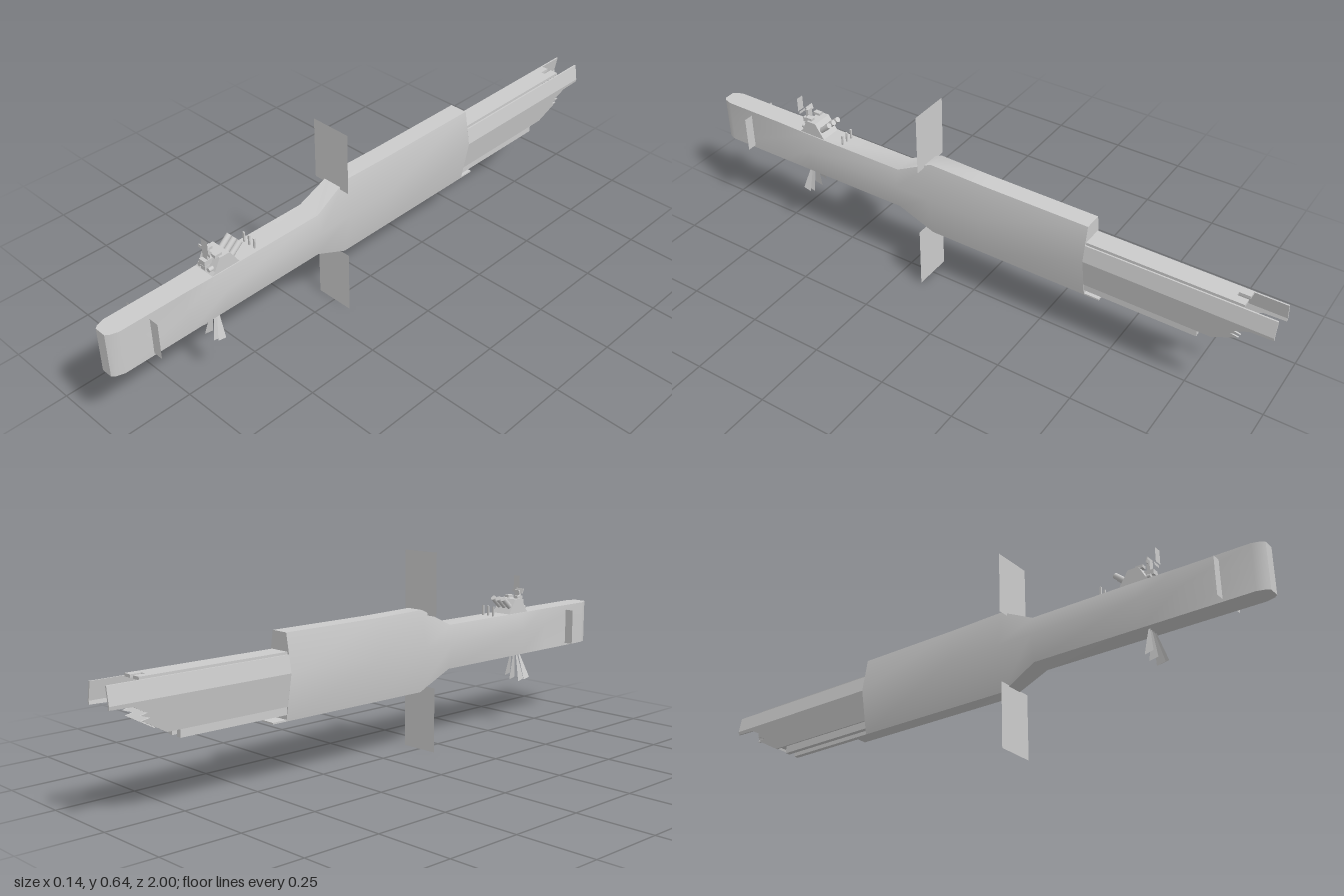
import * as THREE from 'three';
import { toCreasedNormals } from 'three/addons/utils/BufferGeometryUtils.js';

const mat = new THREE.MeshStandardMaterial({ color: 0xcccccc, side: THREE.DoubleSide });

export function createModel() {
  const root = new THREE.Group();

  const add = (name, geo, x = 0, y = 0, z = 0) => {
    const m = new THREE.Mesh(geo, mat);
    m.name = name;
    m.position.set(x, y, z);
    root.add(m);
    return m;
  };
  // Box given by its limits
  const box = (name, x0, x1, y0, y1, z0, z1) =>
    add(name, new THREE.BoxGeometry(x1 - x0, y1 - y0, z1 - z0),
      (x0 + x1) / 2, (y0 + y1) / 2, (z0 + z1) / 2);
  // Thin sheet facing front
  const sheet = (name, x0, x1, y0, y1, z) =>
    add(name, new THREE.PlaneGeometry(x1 - x0, y1 - y0), (x0 + x1) / 2, (y0 + y1) / 2, z);
  const shape = (pts) => new THREE.Shape(pts.map(([x, y]) => new THREE.Vector2(x, y)));

  // Hull: six-sided sections lofted from bow to stern
  // z, top y, top half width, middle half width, bottom y, bottom half width
  const sections = [
    [1.0, 0.4, 0.018, 0.018, 0.255, 0.018],
    [0.99, 0.4, 0.027, 0.027, 0.255, 0.027],
    [0.965, 0.4, 0.035, 0.035, 0.255, 0.035],
    [0.75, 0.4, 0.035, 0.036, 0.255, 0.035],
    [0.62, 0.4, 0.038, 0.05, 0.255, 0.035],
    [0.26, 0.4, 0.038, 0.051, 0.255, 0.035],
    [0.14, 0.46, 0.03, 0.051, 0.195, 0.025],
    [-0.05, 0.456, 0.03, 0.051, 0.195, 0.025],
    [-0.41, 0.455, 0.03, 0.051, 0.195, 0.025],
  ];
  const MID = 0.34;
  const rings = sections.map(([z, ty, tw, mw, by, bw]) => [
    [tw, ty, z], [-tw, ty, z], [-mw, MID, z], [-bw, by, z], [bw, by, z], [mw, MID, z],
  ]);
  const pos = [];
  const tri = (a, b, c) => pos.push(...a, ...b, ...c);
  for (let i = 0; i < rings.length - 1; i++) {
    for (let j = 0; j < 6; j++) {
      const k = (j + 1) % 6, f = rings[i], r = rings[i + 1];
      tri(f[j], f[k], r[k]);
      tri(f[j], r[k], r[j]);
    }
  }
  const bow = rings[0], stern = rings[rings.length - 1];
  for (let j = 1; j < 5; j++) {
    tri(bow[0], bow[j], bow[j + 1]);
    tri(stern[0], stern[j + 1], stern[j]);
  }
  const hull = new THREE.BufferGeometry();
  hull.setAttribute('position', new THREE.Float32BufferAttribute(pos, 3));
  add('hull', toCreasedNormals(hull, 0.6));

  // Tail side panels: profiles in (z, y), bent to follow the hull flanks
  const flank = (y) => y > MID ? 0.051 - (y - MID) * 0.18 : 0.051 - (MID - y) * 0.18;
  const upper = [[-0.41, MID], [-1, MID], [-1, 0.393], [-0.41, 0.393]];
  const lower = [[-0.41, 0.24], [-0.82, 0.24], [-0.9, 0.285], [-0.875, 0.29], [-0.905, 0.3],
    [-0.885, 0.305], [-0.93, 0.328], [-1, 0.33], [-1, MID], [-0.41, MID]];
  for (const s of [1, -1]) {
    for (const pts of [upper, lower]) {
      const g = new THREE.ExtrudeGeometry(shape(pts), { depth: 0.005, bevelEnabled: false });
      const p = g.attributes.position;
      for (let i = 0; i < p.count; i++) {
        const z = p.getX(i), y = p.getY(i);
        p.setXYZ(i, s * (flank(y) - p.getZ(i)), y, z);
      }
      g.computeVertexNormals();
      add('tailSidePanel', g);
    }
    box('keelRail', s * 0.02 - 0.008, s * 0.02 + 0.008, 0.215, 0.245, -0.775, -0.41);
  }

  // Tail deck with a notch at its end, core and keel plate
  const deck = new THREE.ExtrudeGeometry(shape([
    [-0.034, 0.41], [0.034, 0.41], [0.034, 0.9], [0.007, 0.9],
    [0.007, 0.865], [-0.007, 0.865], [-0.007, 0.9], [-0.034, 0.9],
  ]), { depth: 0.009, bevelEnabled: false });
  deck.rotateX(-Math.PI / 2);
  add('tailDeck', deck, 0, 0.391, 0);
  box('tailCore', -0.032, 0.032, 0.245, 0.391, -0.81, -0.41);
  box('keelPlate', -0.025, 0.025, 0.195, 0.2, -0.46, -0.41);

  // Broad flat vanes across the hull
  sheet('topVane', -0.07, 0.066, 0.44, 0.641, 0.163);
  sheet('bottomVane', -0.065, 0.066, 0, 0.21, 0.163);
  sheet('rightBowVane', -0.066, -0.02, 0.263, 0.383, 0.87);
  sheet('leftBowVane', 0.02, 0.068, 0.263, 0.383, 0.87);

  // Command tower
  const tower = new THREE.ExtrudeGeometry(
    shape([[0.66, 0.395], [0.645, 0.41], [0.625, 0.448], [0.59, 0.448], [0.555, 0.395]]),
    { depth: 0.07, bevelEnabled: false });
  tower.rotateY(-Math.PI / 2);
  add('tower', tower, 0.035, 0, 0);
  for (const x of [-0.02, 0.02]) {
    const lamp = add('towerLamp', new THREE.CylinderGeometry(0.007, 0.007, 0.016, 12), x, 0.414, 0.648);
    lamp.rotation.x = Math.PI / 2;
    box('towerSensor', x - 0.008, x + 0.008, 0.446, 0.456, 0.61, 0.635);
  }
  box('towerWindow', -0.009, 0.009, 0.407, 0.42, 0.64, 0.658);
  box('towerBlock', -0.012, 0.012, 0.424, 0.44, 0.625, 0.66);

  // Mast with its flat aerials
  box('mast', -0.01, 0.01, 0.438, 0.472, 0.638, 0.648);
  sheet('mastCrossbar', -0.023, 0.005, 0.469, 0.477, 0.65);
  sheet('mastArm', 0.005, 0.032, 0.463, 0.472, 0.655);
  sheet('mastAerial', 0.006, 0.032, 0.472, 0.519, 0.66);
  const blade = box('mastBlade', -0.022, 0.008, 0.45, 0.48, 0.644, 0.647);
  blade.scale.y = 0.6;
  blade.position.y = 0.47;
  blade.rotation.x = 0.3;

  // Tilted tubes and posts behind the tower
  for (const x of [-0.022, 0, 0.022]) {
    const tube = add('launchTube', new THREE.CylinderGeometry(0.009, 0.009, 0.055, 12), x, 0.435, 0.562);
    tube.rotation.x = -0.85;
    box('deckPost', x - 0.003, x + 0.003, 0.398, 0.433, 0.488, 0.493);
  }

  // Fan of thin blades below the bow
  for (const [x0, x1, y1] of [[-0.015, -0.045, 0.166], [-0.005, -0.02, 0.156],
    [0.005, 0.02, 0.156], [0.017, 0.041, 0.168]]) {
    const g = new THREE.BufferGeometry();
    g.setAttribute('position', new THREE.Float32BufferAttribute([
      x0, 0.258, 0.638, x1, y1 + 0.006, 0.66, x1, y1, 0.632,
      x0, 0.258, 0.638, x1, y1, 0.632, x0, 0.258, 0.633,
    ], 3));
    g.computeVertexNormals();
    add('ventralAerial', g);
  }

  return root;
}
